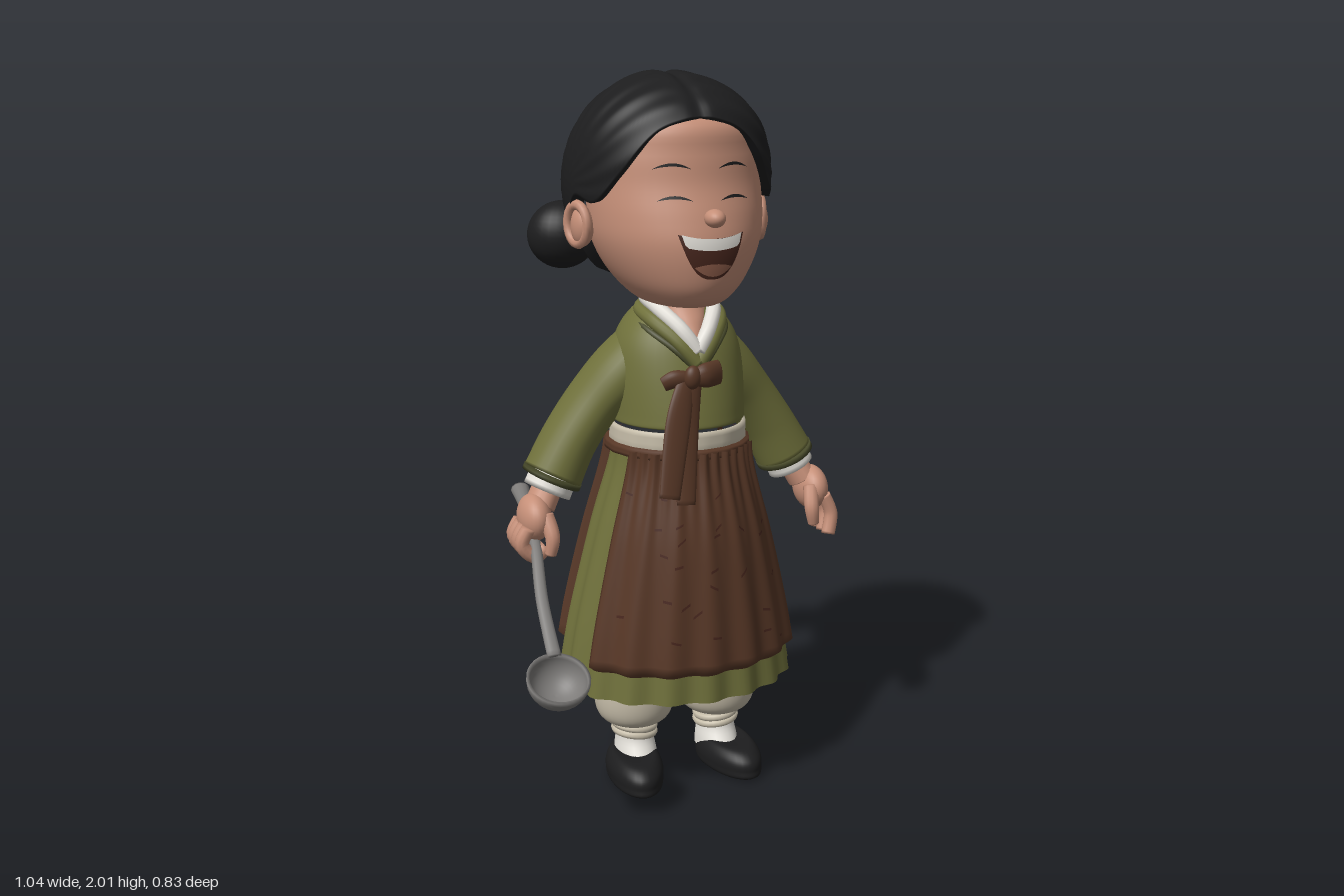
import * as THREE from 'three';

const mat = (name, color, side = THREE.FrontSide) => {
  const m = new THREE.MeshStandardMaterial({ color, side });
  m.name = name;
  return m;
};
const black = mat('black', 0x1d1d1e), skin = mat('skin', 0xc58f78), olive = mat('olive cloth', 0x6f703b);
const darkOlive = mat('dark olive trim', 0x47492a), brown = mat('brown cloth', 0x573726);
const cream = mat('cream cloth', 0xc6bda9), white = mat('white cloth', 0xe2dfd8);
const steel = mat('steel', 0x7d7b79, THREE.DoubleSide), mouthDark = mat('dark mouth', 0x47261d), tongueMat = mat('tongue', 0x8f5e4b);

const V = (x, y, z) => new THREE.Vector3(x, y, z);

// Smooth interpolation through rows of numbers, t in 0..1
function sample(rows, t) {
  const n = rows.length - 1, s = Math.min(Math.max(t, 0), 1) * n, i = Math.min(Math.floor(s), n - 1), f = s - i;
  const p0 = rows[Math.max(i - 1, 0)], p1 = rows[i], p2 = rows[i + 1], p3 = rows[Math.min(i + 2, n)];
  return p1.map((b, k) => 0.5 * (2 * b + (p2[k] - p0[k]) * f + (2 * p0[k] - 5 * b + 4 * p2[k] - p3[k]) * f * f
    + (3 * b - p0[k] - 3 * p2[k] + p3[k]) * f * f * f));
}
// Parameter at which the first (rising) column reaches a value
function tAt(rows, key) {
  let a = 0, b = 1;
  for (let i = 0; i < 30; i++) { const m = (a + b) / 2; if (sample(rows, m)[0] < key) a = m; else b = m; }
  return a;
}
// Surface from a function of u and v, optionally closed around u
function grid(nu, nv, fn, closed = false) {
  const pos = [], idx = [], w = closed ? nu : nu + 1;
  for (let j = 0; j <= nv; j++) for (let i = 0; i < w; i++) pos.push(...fn(i / nu, j / nv, i, j).toArray());
  for (let j = 0; j < nv; j++) for (let i = 0; i < nu; i++) {
    const a = j * w + i, b = j * w + (i + 1) % w;
    idx.push(a, b, b + w, a, b + w, a + w);
  }
  const g = new THREE.BufferGeometry();
  g.setAttribute('position', new THREE.Float32BufferAttribute(pos, 3));
  g.setIndex(idx);
  g.computeVertexNormals();
  return g;
}
// Point on stacked ovals; a row is [y, half width, front z, back z, centre z]
function ovalPoint(rows, phi, t, off = 0) {
  const [y, rx, zf, zb, cz] = sample(rows, t), c = Math.cos(phi);
  return V(Math.sin(phi) * Math.max(rx + off, 0), y, cz + c * (c > 0 ? zf - cz + off : cz - zb + off));
}
const loft = (rows, nu = 40, nv = 32) => grid(nu, nv, (u, v) => ovalPoint(rows, u * Math.PI * 2, v), true);
// Oval tube with rounded ends through rows [x, y, z, radius across, radius deep]
function sweep(rows, nu = 16, nv = 20, ref = V(0, 0, 1)) {
  return grid(nu, nv + 2, (u, v, i, j) => {
    const t = Math.min(Math.max((j - 1) / nv, 0), 1), r = sample(rows, t);
    const T = V(...sample(rows, Math.min(t + 0.01, 1))).sub(V(...sample(rows, Math.max(t - 0.01, 0)))).normalize();
    const N = V().crossVectors(T, ref).normalize(), B = V().crossVectors(T, N), a = u * Math.PI * 2;
    const k = j === 0 || j === nv + 2 ? 0 : 1;
    return V(r[0], r[1], r[2]).addScaledVector(N, Math.cos(a) * r[3] * k).addScaledVector(B, Math.sin(a) * r[4] * k);
  }, true);
}

const headRows = [[1.385, 0.01, 0.03, -0.03, 0], [1.4, 0.1, 0.13, -0.1, -0.02], [1.44, 0.155, 0.175, -0.17, -0.04],
  [1.5, 0.2, 0.195, -0.24, -0.06], [1.57, 0.23, 0.2, -0.28, -0.07], [1.64, 0.238, 0.185, -0.3, -0.07],
  [1.72, 0.235, 0.16, -0.3, -0.07], [1.8, 0.225, 0.15, -0.3, -0.07], [1.88, 0.19, 0.13, -0.28, -0.07], [1.94, 0.06, 0.0, -0.15, -0.07]];
const skirtRows = [[0.31, 0.338, 0.225, -0.335, -0.06], [0.5, 0.305, 0.212, -0.325, -0.06], [0.75, 0.245, 0.185, -0.285, -0.055],
  [0.95, 0.19, 0.145, -0.235, -0.045], [1.06, 0.18, 0.14, -0.215, -0.04]];
const skirtAt = (phi, t, off = 0) => ovalPoint(skirtRows, phi, t, off + 0.008 * (1 - t) * Math.cos(18 * phi));
// Hairline: degrees from the front, degrees down from the crown
const hairline = [[0, 55], [25, 62], [45, 82], [62, 97], [80, 95], [95, 115], [112, 140], [180, 150]];

export function createModel() {
  const root = new THREE.Group(), body = new THREE.Group();
  root.name = 'cook with ladle';
  body.name = 'figure';
  body.position.x = 0.035;
  root.add(body);
  const add = (name, geo, m, parent = body) => {
    const mesh = new THREE.Mesh(geo, m);
    mesh.name = name;
    parent.add(mesh);
    return mesh;
  };
  const ball = (name, m, p, s) => {
    const mesh = add(name, new THREE.SphereGeometry(1, 28, 20), m);
    mesh.position.set(...p);
    mesh.scale.set(...s);
    return mesh;
  };

  // Head, nose and face painted as thin curved patches
  add('head', loft(headRows, 56, 48), skin);
  ball('nose', skin, [0.01, 1.64, 0.2], [0.027, 0.024, 0.035]);
  const patch = (name, m, x0, x1, low, high, off) => add(name, grid(20, 8, (u, v) => {
    const x = x0 + (x1 - x0) * u, s = 2 * u - 1, y = low(s) + (high(s) - low(s)) * v;
    const [, rx, zf, , cz] = sample(headRows, tAt(headRows, y));
    return V(x, y, cz + (zf - cz) * Math.sqrt(1 - (x / rx) ** 2) + off);
  }), m);
  const lip = s => 1.588 + 0.012 * s * s, jaw = s => 1.482 + 0.118 * Math.pow(Math.abs(s), 2.6);
  patch('mouth', mouthDark, -0.085, 0.1, jaw, lip, 0.004);
  patch('upperTeeth', white, -0.078, 0.093, s => Math.max(lip(s) - 0.03, jaw(s) + 0.002), lip, 0.008);
  patch('tongue', tongueMat, -0.045, 0.06, s => 1.49 + 0.025 * s * s, s => 1.523 - 0.008 * s * s, 0.008);
  for (const s of [-1, 1]) {
    const arc = (name, x, y, w, bend, thick) => patch(name, black, s * x - w, s * x + w,
      k => y - bend * k * k - thick * (1 - k * k), k => y - bend * k * k + thick * (1 - k * k), 0.004);
    arc('closedEye', 0.083, 1.692, 0.045, 0.01, 0.004);
    arc('eyebrow', 0.085, 1.774, 0.048, 0.012, 0.004);
    ball('ear', skin, [s * 0.255, 1.6, -0.09], [0.03, 0.055, 0.045]);
    const rim = add('earRim', new THREE.TorusGeometry(0.045, 0.013, 8, 24), skin);
    rim.position.set(s * 0.268, 1.605, -0.093);
    rim.rotation.y = Math.PI / 2 - s * 0.3;
    rim.scale.y = 1.15;
  }

  // Hair shell with a centre parting and combed strands
  add('hair', grid(144, 60, (u, v, i, j) => {
    const phi = (u * 2 - 1) * Math.PI, deg = Math.abs(phi) * 180 / Math.PI;
    const end = sample(hairline, tAt(hairline, deg))[1], p = end * (1 - Math.max(j - 1, 0) / 59), q = p * Math.PI / 180;
    const n = V(Math.sin(q) * Math.sin(phi), Math.cos(q), Math.sin(q) * Math.cos(phi));
    let f = 1 + 0.1 * Math.exp(-(((p - 55) / 25) ** 2)) * Math.max(0, Math.cos(phi))
      + 0.09 * Math.exp(-(((p - 150) / 25) ** 2)) * Math.max(0, -Math.cos(phi));
    const fade = Math.min(1, 1.4 * Math.sqrt(1 - n.x * n.x)) * Math.min(1, Math.abs(n.x) * 5);
    f += 0.008 * fade * Math.sin(Math.atan2(n.y, n.z) * 20 + n.x * n.x * 4 + Math.sin(n.z * 5));
    f -= 0.03 * Math.exp(-((n.x / 0.06) ** 2));
    if (j === 0) f *= deg > 100 ? 0.3 : 0.86;
    return V(n.x * 0.287 * f, 1.707 + n.y * 0.3 * f, -0.13 + n.z * 0.288 * f);
  }, true), black);
  ball('hairBun', black, [-0.25, 1.555, -0.29], [0.1, 0.095, 0.09]);

  // Neck and crossed collar
  add('neck', loft([[1.26, 0.01, 0.11, 0, 0.03], [1.3, 0.035, 0.108, -0.08, 0], [1.35, 0.065, 0.083, -0.11, -0.02],
    [1.4, 0.078, 0.05, -0.12, -0.04], [1.46, 0.085, 0.04, -0.13, -0.04]]), skin);
  const collar = (k, dy, dz, a) => {
    const half = [[0, 1.275, 0.112], [0.04, 1.335, 0.09], [0.08, 1.385, 0.02], [0.078, 1.405, -0.08]]
      .map(([x, y, z]) => [x * k, y + dy, z + dz, a, a]);
    return [...half, [0, 1.41 + dy, -0.14 * k, a, a], ...half.map(([x, ...r]) => [-x, ...r]).reverse()];
  };
  add('whiteCollar', sweep(collar(1, 0, 0, 0.021), 12, 60, V(0, 1, 0.3)), white);
  add('jacketCollar', sweep(collar(1.22, -0.032, 0.004, 0.02), 12, 60, V(0, 1, 0.3)), olive);
  add('collarTrim', sweep(collar(1.42, -0.055, 0.006, 0.009), 8, 60, V(0, 1, 0.3)), darkOlive);

  // Jacket body
  add('jacket', loft([[1.085, 0.16, 0.11, -0.19, -0.045], [1.07, 0.184, 0.15, -0.232, -0.045], [1.1, 0.186, 0.15, -0.232, -0.045],
    [1.2, 0.186, 0.128, -0.225, -0.05], [1.28, 0.175, 0.105, -0.22, -0.055], [1.34, 0.145, 0.078, -0.2, -0.06],
    [1.385, 0.1, 0.045, -0.165, -0.06], [1.4, 0.07, 0.01, -0.13, -0.06]], 48, 48), olive);

  // Ribbon bow and tails
  add('ribbonTail', sweep([[-0.05, 1.21, 0.155, 0.025, 0.012], [-0.085, 1.1, 0.185, 0.036, 0.01], [-0.125, 0.91, 0.228, 0.03, 0.008]]), brown);
  add('ribbonTail', sweep([[-0.03, 1.21, 0.155, 0.025, 0.012], [-0.055, 1.08, 0.175, 0.033, 0.01], [-0.073, 0.885, 0.215, 0.027, 0.008]]), brown);
  add('bowLoop', sweep([[-0.03, 1.215, 0.16, 0.022, 0.016], [0.0, 1.222, 0.165, 0.034, 0.022], [0.043, 1.225, 0.15, 0.034, 0.018]]), brown);
  add('bowLoop', sweep([[-0.04, 1.215, 0.155, 0.018, 0.014], [-0.08, 1.215, 0.15, 0.024, 0.016], [-0.11, 1.2, 0.14, 0.02, 0.012]]), brown);
  ball('bowKnot', brown, [-0.037, 1.22, 0.168], [0.024, 0.032, 0.02]);

  // Skirt with closed underside, waistband and apron string
  add('skirt', grid(144, 30, (u, v) => skirtAt(u * Math.PI * 2, v), true), olive);
  add('skirtUnderside', grid(144, 4, (u, v) => {
    const p = skirtAt(u * Math.PI * 2, 0);
    return V(p.x * v, p.y + 0.03 * (1 - v), -0.06 + (p.z + 0.06) * v);
  }, true), olive);
  const band = (name, y0, y1, off, m) => add(name, grid(60, 5, (u, v, i, j) =>
    skirtAt(u * Math.PI * 2, tAt(skirtRows, y0 + (y1 - y0) * v), j % 5 ? off : 0), true), m);
  band('waistband', 0.99, 1.085, 0.01, cream);
  band('apronString', 0.98, 1.018, 0.02, brown);

  // Front and back apron panels with gathers and small woven flecks
  let seed = 7;
  const rand = () => (seed = (seed * 16807) % 2147483647) / 2147483647;
  const t0 = tAt(skirtRows, 0.385), t1 = tAt(skirtRows, 1.005);
  [['frontApron', 0], ['backApron', Math.PI]].forEach(([name, mid]) => {
    const apronAt = (phi, v, off) => skirtAt(mid + phi, t0 + (t1 - t0) * v, off + 0.006 * v ** 3 * Math.cos(38 * phi));
    add(name, grid(100, 30, (u, v, i, j) => {
      const edge = i === 0 || i === 100 || j === 0;
      return apronAt((u - 0.5) * 2.2, v, edge ? -0.005 : 0.024);
    }), brown);
    const flecks = new THREE.Group();
    flecks.name = name + 'Flecks';
    body.add(flecks);
    for (let k = 0; k < 26; k++) {
      const a = (rand() - 0.5) * 1.9, h = 0.06 + rand() * 0.75, tilt = (rand() - 0.5) * 0.06;
      add('fleck', grid(2, 1, (u, v) => apronAt(a + (u - 0.5) * 0.08, h + (v - 0.5) * 0.01 + tilt * (u - 0.5), 0.027)), mouthDark, flecks);
    }
  });

  for (const s of [-1, 1]) {
    const side = s > 0 ? 'left' : 'right';
    const mirror = rows => rows.map(([x, ...r]) => [x * s, ...r]);
    // Sleeve, cuff and wrist
    add(side + 'Sleeve', sweep(mirror([[0.06, 1.305, -0.06, 0.07, 0.09], [0.15, 1.2, -0.085, 0.083, 0.105], [0.23, 1.11, -0.1, 0.076, 0.1],
      [0.3, 1.01, -0.1, 0.077, 0.094], [0.352, 0.915, -0.09, 0.083, 0.088]]), 28, 30), olive);
    add(side + 'SleeveHem', sweep(mirror([[0.35, 0.92, -0.09, 0.085, 0.09], [0.357, 0.905, -0.09, 0.085, 0.09]]), 28, 2), darkOlive);
    add(side + 'Cuff', sweep(mirror([[0.345, 0.93, -0.085, 0.066, 0.068], [0.372, 0.875, -0.08, 0.068, 0.07]]), 28, 4), white);
    add(side + 'Wrist', sweep(mirror([[0.365, 0.9, -0.075, 0.04, 0.045], [0.4, 0.84, -0.06, 0.042, 0.055]])), skin);
    ball(side + 'Palm', skin, [s * 0.42, 0.815, -0.045], [0.046, 0.065, 0.075]);
    // Fingers: the left hang loose, the right curl round the handle
    [0.005, -0.03, -0.065, -0.097].forEach((z, i) => {
      const r = i === 3 ? 0.016 : 0.02, d = i === 3 ? 0.015 : 0;
      const path = s > 0 ? [[0.44, 0.8, z], [0.462, 0.745, z + 0.005], [0.45, 0.685 + d, z + 0.015]]
        : [[-0.45, 0.8, z], [-0.47, 0.755, z], [-0.435, 0.718, z], [-0.402, 0.74, z]];
      add(side + 'Finger', sweep(path.map(p => [...p, r, r]), 10, 14), skin);
    });
    add(side + 'Thumb', sweep(mirror([[0.4, 0.83, 0.0, 0.022, 0.022], [0.39, 0.775, 0.03, 0.021, 0.021], [0.397, 0.725, 0.03, 0.016, 0.016]]), 10, 14), skin);

    // Trouser leg, ankle wrap, sock and shoe
    const leg = new THREE.Group();
    leg.name = side + 'Leg';
    leg.position.set(s * 0.128, 0, -0.055);
    body.add(leg);
    const ring = (y, r) => [y, r, r, -r, 0];
    add('trouserLeg', loft([ring(0.155, 0.03), ring(0.165, 0.075), ring(0.19, 0.105), ring(0.24, 0.117), ring(0.32, 0.114), ring(0.42, 0.1)], 32, 24), cream);
    add('sock', loft([[0.05, 0.062, 0.11, -0.06, 0], [0.08, 0.06, 0.085, -0.06, 0], [0.12, 0.055, 0.06, -0.06, 0], [0.18, 0.055, 0.056, -0.056, 0]], 28, 12), white);
    for (const y of [0.13, 0.15]) {
      const tie = add('ankleTie', new THREE.TorusGeometry(0.058, 0.011, 8, 28), cream, leg);
      tie.position.y = y;
      tie.rotation.set(Math.PI / 2, 0.12 * s, 0);
    }
    leg.add(...body.children.filter(c => c.name === 'trouserLeg' || c.name === 'sock'));
    const shoe = add('shoe', loft([[0, 0.005, 0.01, -0.01, 0], [0.002, 0.068, 0.185, -0.065, 0.04], [0.03, 0.08, 0.203, -0.075, 0.04],
      [0.06, 0.077, 0.195, -0.074, 0.04], [0.082, 0.06, 0.155, -0.066, 0.03], [0.078, 0.035, 0.08, -0.04, 0.01]], 36, 30), black, leg);
    shoe.position.x = s * 0.012;
    shoe.rotation.y = s * 0.12;
  }

  // Ladle
  const ladle = new THREE.Group();
  ladle.name = 'ladle';
  body.add(ladle);
  add('ladleHandle', sweep([[-0.393, 0.825, -0.285, 0.027, 0.022], [-0.402, 0.81, -0.21, 0.021, 0.018], [-0.418, 0.785, -0.1, 0.016, 0.014],
    [-0.432, 0.74, 0.01, 0.016, 0.014], [-0.455, 0.64, 0.14, 0.017, 0.012], [-0.464, 0.535, 0.275, 0.019, 0.01]], 12, 40, V(0, 1, 0)), steel, ladle);
  const profile = [];
  for (let i = 0; i <= 10; i++) profile.push(new THREE.Vector2(0.084 * Math.sin(i * Math.PI / 20), -0.082 * Math.cos(i * Math.PI / 20)));
  for (let i = 10; i >= 0; i--) profile.push(new THREE.Vector2(0.076 * Math.sin(i * Math.PI / 20), -0.074 * Math.cos(i * Math.PI / 20)));
  const bowl = add('ladleBowl', new THREE.LatheGeometry(profile, 32), steel, ladle);
  bowl.position.set(-0.472, 0.5, 0.34);
  bowl.rotation.x = 0.5;
  return root;
}
